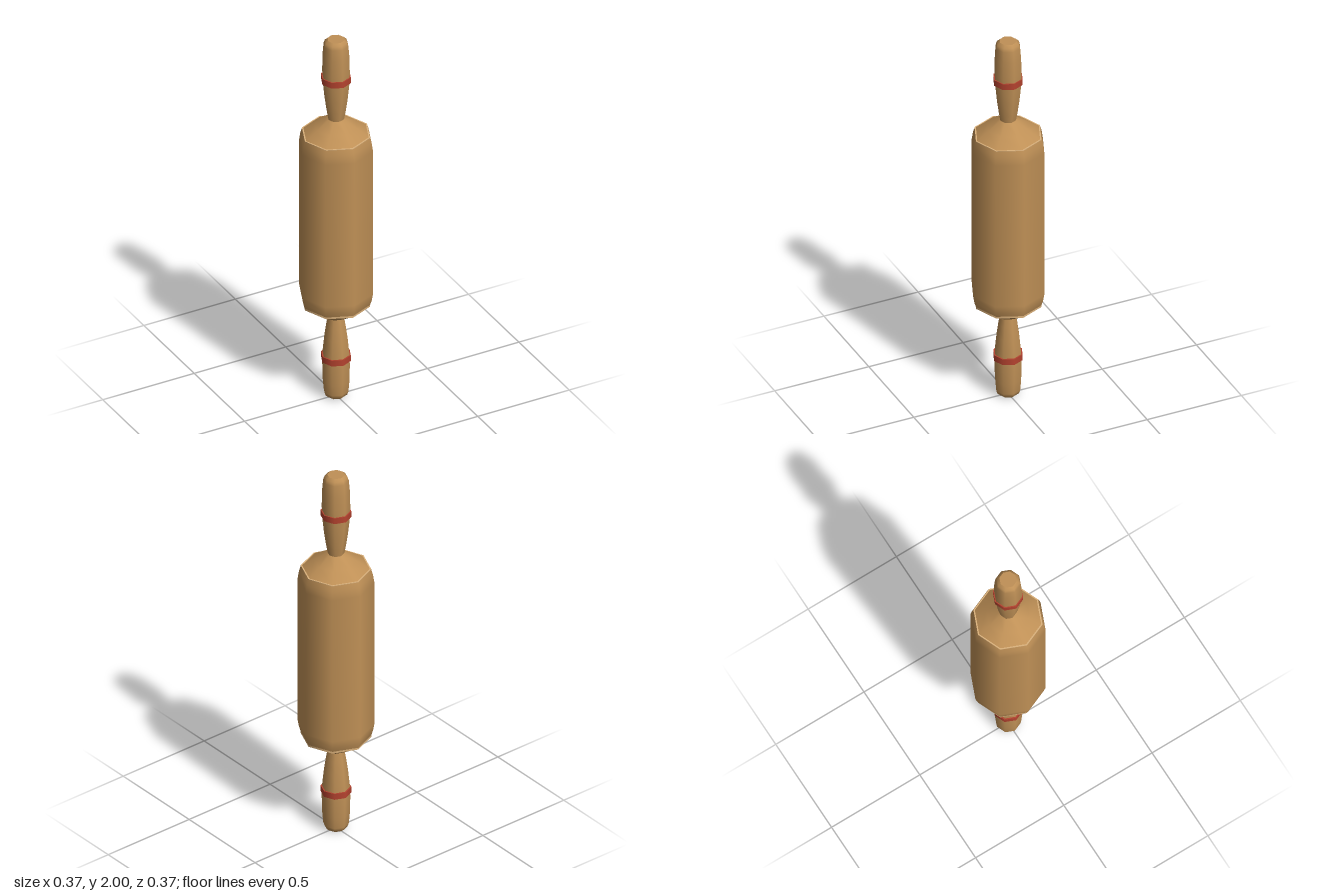
import * as THREE from 'three';

const SIDES = 8;

export function createModel() {
  const wood = new THREE.MeshStandardMaterial({ color: 0xbf9056 });
  wood.name = 'wood';
  const paleWood = new THREE.MeshStandardMaterial({ color: 0xdcb27c });
  paleWood.name = 'paleWood';
  const red = new THREE.MeshStandardMaterial({ color: 0xb5432f });
  red.name = 'redPaint';

  const model = new THREE.Group();
  model.name = 'rollingPin';

  // Turned part from [radius, height] pairs, listed bottom to top
  const turned = (name, profile, material, parent) => {
    const points = profile.map(([r, y]) => new THREE.Vector2(r, y));
    const mesh = new THREE.Mesh(new THREE.LatheGeometry(points, SIDES), material);
    mesh.name = name;
    parent.add(mesh);
  };

  // Roller with bevelled ends
  turned('roller', [
    [0.17, 0.535], [0.178, 0.56], [0.185, 0.6],
    [0.185, 1.4], [0.178, 1.445], [0.17, 1.472],
  ], wood, model);

  // Everything beyond one end of the roller, measured from the pin's middle
  const makeEnd = (name, rimHeight) => {
    const end = new THREE.Group();
    end.name = name;
    turned('rimWall', [[0.17, 0.475 - rimHeight], [0.17, 0.475]], paleWood, end);
    turned('rimFace', [[0.17, 0.475], [0.163, 0.475]], paleWood, end);
    turned('shoulder', [[0.163, 0.475], [0.105, 0.515], [0.04, 0.558]], wood, end);
    turned('handle', [
      [0.04, 0.555], [0.048, 0.6], [0.058, 0.67], [0.067, 0.76],
      [0.069, 0.82], [0.067, 0.91], [0.062, 0.97], [0.056, 0.988], [0.042, 1],
    ], wood, end);
    turned('handleTip', [[0.042, 1], [0, 1]], wood, end);
    // Painted band with closed edges
    turned('bandWall', [[0.074, 0.765], [0.074, 0.797]], red, end);
    turned('bandOuterEdge', [[0.074, 0.797], [0.064, 0.797]], red, end);
    turned('bandInnerEdge', [[0.06, 0.765], [0.074, 0.765]], red, end);
    end.position.y = 1;
    model.add(end);
    return end;
  };

  makeEnd('upperEnd', 0.003);
  makeEnd('lowerEnd', 0.01).rotation.x = Math.PI;

  return model;
}
